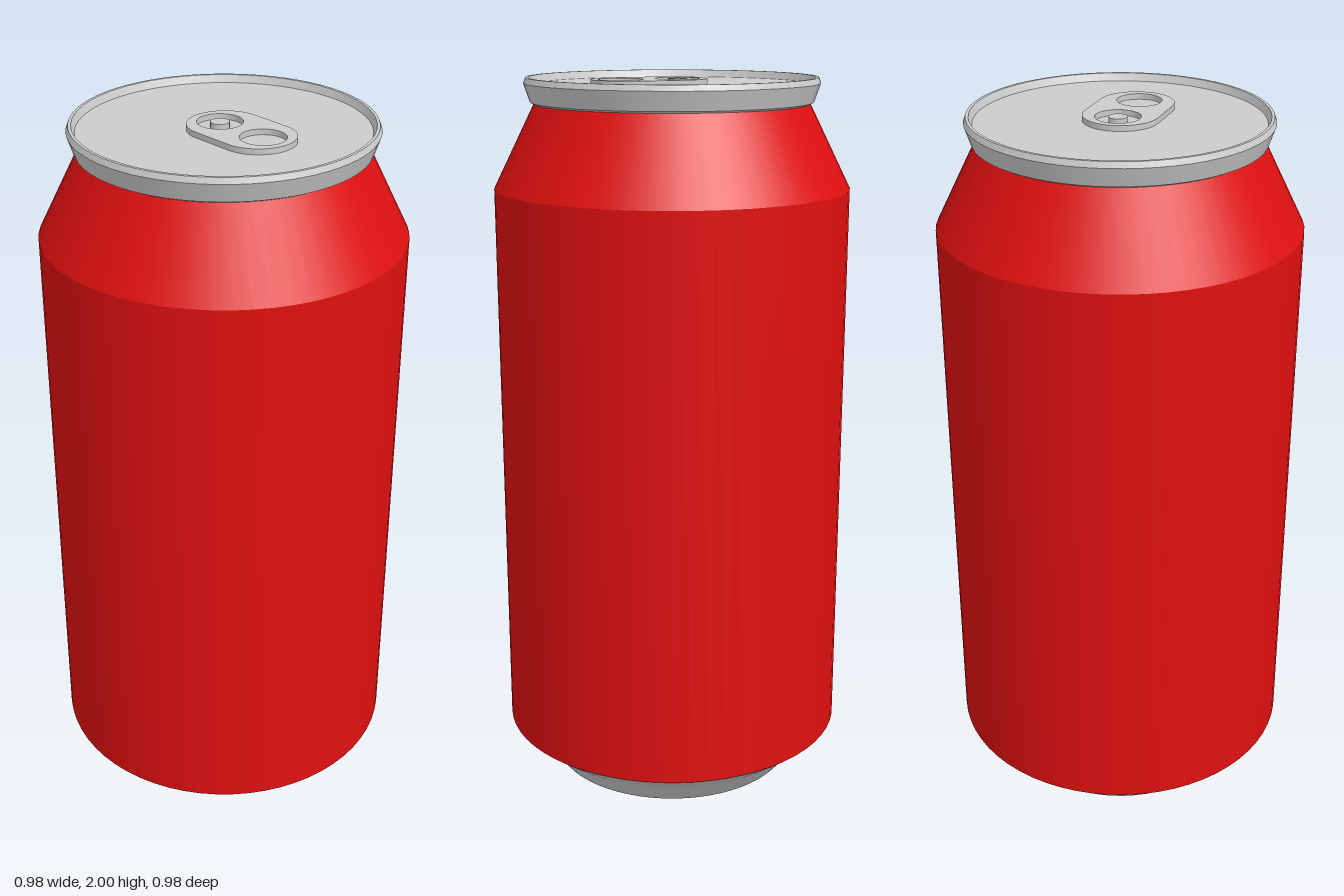
import * as THREE from 'three';
import { mergeGeometries, toCreasedNormals } from 'three/addons/utils/BufferGeometryUtils.js';

const SEGMENTS = 64;

// Revolve a [radius, height] profile, one band per segment, so bands meet at sharp edges
function revolve(profile) {
  const bands = [];
  for (let i = 0; i < profile.length - 1; i++) {
    const pts = [profile[i], profile[i + 1]].map(([r, y]) => new THREE.Vector2(r, y));
    bands.push(new THREE.LatheGeometry(pts, SEGMENTS));
  }
  return mergeGeometries(bands);
}

export function createModel() {
  const red = new THREE.MeshStandardMaterial({ color: 0xe01010 });
  red.name = 'red paint';
  const silver = new THREE.MeshStandardMaterial({ color: 0xcccccc });
  silver.name = 'silver metal';

  const group = new THREE.Group();
  group.name = 'drinkCan';
  const add = (name, geometry, material) => {
    const mesh = new THREE.Mesh(geometry, material);
    mesh.name = name;
    group.add(mesh);
    return mesh;
  };

  // Base with a dished underside
  add('base', revolve([
    [0, 0.05], [0.185, 0.05], [0.335, 0.006], [0.34, 0], [0.35, 0.004], [0.405, 0.07], [0.488, 0.135],
  ]), silver);

  // Painted wall and sloping shoulder
  add('body', revolve([[0.488, 0.135], [0.488, 1.705], [0.375, 1.93]]), red);

  // Flared rim running into the recessed lid
  const lidY = 1.98;
  add('rimAndLid', revolve([
    [0.375, 1.93], [0.385, 1.935], [0.402, 1.985], [0.396, 2], [0.388, 2], [0.38, lidY], [0, lidY],
  ]), silver);

  // Pull tab: rounded plate with two round holes
  const tabShape = new THREE.Shape();
  tabShape.absarc(0, 0.125, 0.1, 0, Math.PI, false);
  tabShape.absarc(0, 0.005, 0.1, Math.PI, Math.PI * 2, false);
  tabShape.closePath();
  for (const z of [-0.015, 0.145]) {
    const hole = new THREE.Path();
    hole.absarc(0, z, 0.06, 0, Math.PI * 2, true);
    tabShape.holes.push(hole);
  }
  const tab = new THREE.ExtrudeGeometry(tabShape, { depth: 0.015, bevelEnabled: false, curveSegments: 24 });
  tab.rotateX(Math.PI / 2);
  add('pullTab', toCreasedNormals(tab, 0.6), silver).position.y = lidY + 0.015;

  // Rivet inside the rear hole
  const rivet = new THREE.CylinderGeometry(0.025, 0.025, 0.015, 24);
  add('rivet', rivet, silver).position.set(0, lidY + 0.0075, -0.015);

  return group;
}
